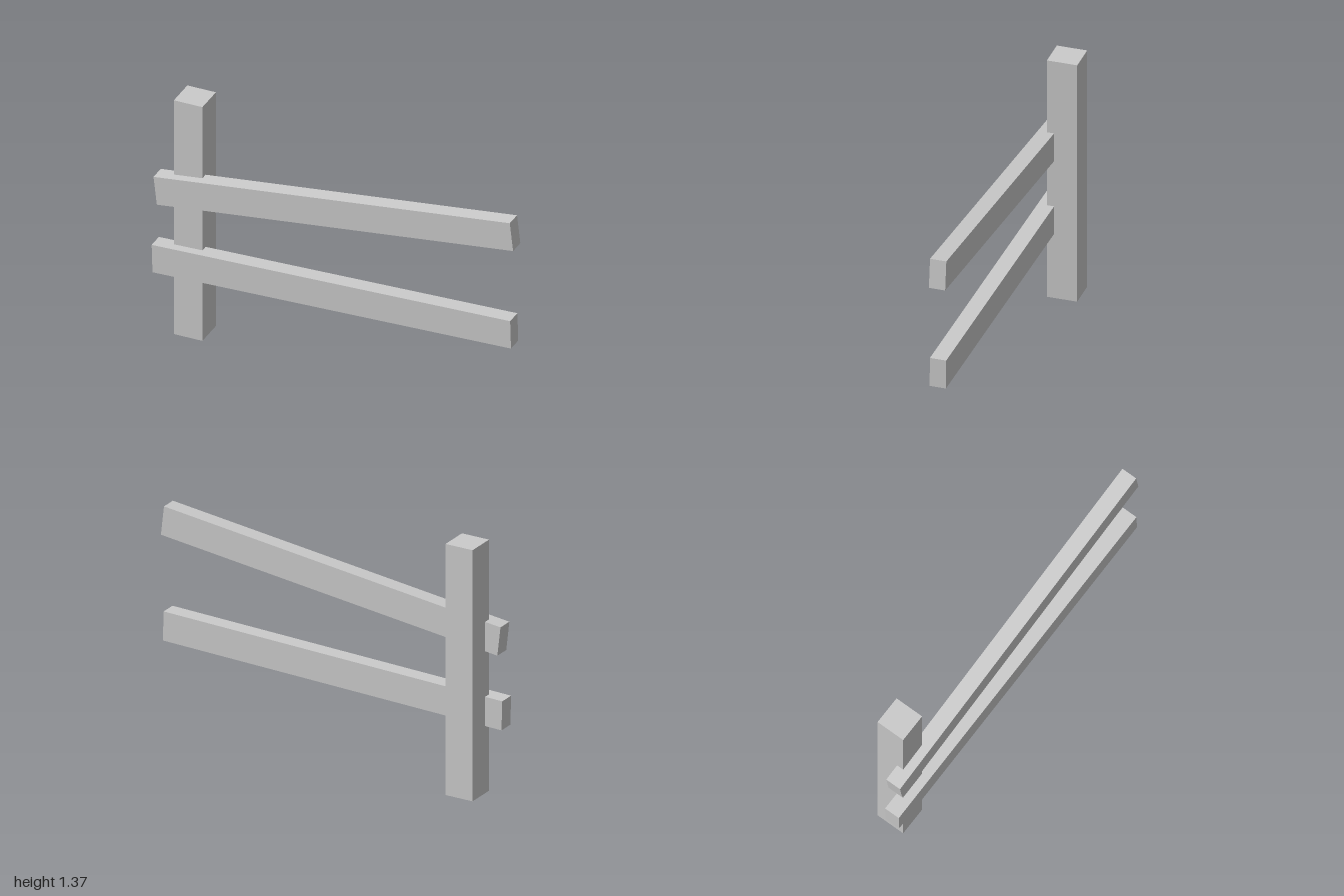
import * as THREE from 'three';

export function createModel() {
  const group = new THREE.Group();
  const material = new THREE.MeshStandardMaterial({ color: 0xcccccc, flatShading: true });

  function beam(name, size, position, tilt = 0) {
    const mesh = new THREE.Mesh(new THREE.BoxGeometry(...size), material);
    mesh.name = name;
    mesh.position.set(...position);
    mesh.rotation.z = tilt;
    group.add(mesh);
  }

  // Upright square post
  beam('post', [0.158, 1.366, 0.16], [-0.821, 0.683, -0.024]);

  // Tilted rails, let partly into the front of the post
  const railSize = [1.983, 0.159, 0.086];
  beam('upperRail', railSize, [0.004, 0.957, 0.061], 0.1154);
  beam('lowerRail', railSize, [-0.007, 0.4705, 0.061], 0.0285);

  return group;
}
